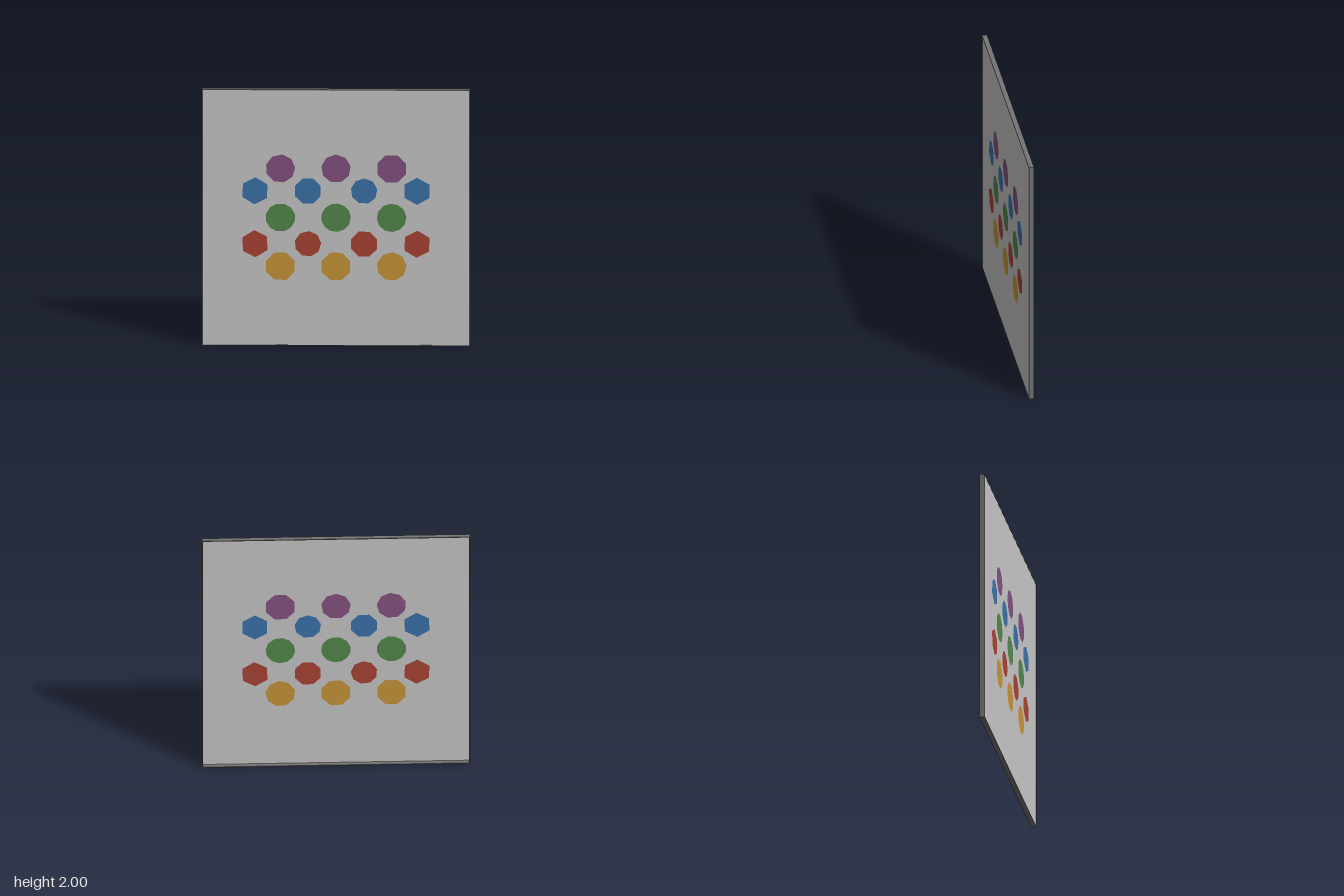
import * as THREE from 'three';

const mat = (name, color, side = THREE.DoubleSide) =>
  new THREE.MeshStandardMaterial({ name, color, side });

export function createModel() {
  const model = new THREE.Group();
  model.name = 'panel';

  const panelGrey = mat('panel grey', 0xcacaca);
  const rimGrey = mat('rim grey', 0x757575, THREE.FrontSide);
  const faceZ = 0.018;

  // Rows of spots: each spot is [x, radius, sides, rotation in degrees]
  const rows = [
    { name: 'purpleSpot', y: 1.383, material: mat('purple', 0x865381),
      spots: [[-0.415, 0.111, 9, 4], [0, 0.111, 9, 10], [0.415, 0.115, 8, 22.5]] },
    { name: 'blueSpot', y: 1.208, material: mat('blue', 0x3b74ac),
      spots: [[-0.605, 0.106, 6, 28], [-0.21, 0.104, 8, 22.5], [0.21, 0.1, 9, 8], [0.605, 0.106, 6, 30]] },
    { name: 'greenSpot', y: 1.0, material: mat('green', 0x558a4d),
      spots: [[-0.415, 0.111, 12, 15], [0, 0.111, 13, 0], [0.415, 0.111, 12, 5]] },
    { name: 'redSpot', y: 0.795, material: mat('red', 0xaa4433),
      spots: [[-0.605, 0.106, 6, 32], [-0.21, 0.1, 9, 4], [0.21, 0.104, 8, 22.5], [0.605, 0.106, 6, 28]] },
    { name: 'orangeSpot', y: 0.62, material: mat('orange', 0xca9739),
      spots: [[-0.415, 0.115, 8, 22.5], [0, 0.115, 8, 22.5], [0.415, 0.112, 9, 5]] },
  ];

  // Square sheet, cut out wherever a spot is inlaid
  const sheet = new THREE.Shape([[-1, 0], [1, 0], [1, 2], [-1, 2]]
    .map(([x, y]) => new THREE.Vector2(x * 0.996, 1 + (y - 1) * 0.996)));

  for (const { name, y, material, spots } of rows) {
    spots.forEach(([x, radius, sides, degrees], i) => {
      const corners = Array.from({ length: sides }, (_, k) => {
        const a = THREE.MathUtils.degToRad(degrees) + (k / sides) * Math.PI * 2;
        return new THREE.Vector2(x + radius * Math.cos(a), y + radius * Math.sin(a));
      });
      sheet.holes.push(new THREE.Path(corners));
      const spot = new THREE.Mesh(new THREE.ShapeGeometry(new THREE.Shape(corners)), material);
      spot.name = `${name}${i + 1}`;
      spot.position.z = faceZ;
      model.add(spot);
    });
  }

  const face = new THREE.Mesh(new THREE.ShapeGeometry(sheet), panelGrey);
  face.name = 'faceSheet';
  face.position.z = faceZ;
  model.add(face);

  // Thin rim around the sheet, leaving the back open
  const rim = new THREE.Group();
  rim.name = 'rim';
  const t = 0.006, depth = 0.038;
  for (const s of [-1, 1]) {
    const side = new THREE.Mesh(new THREE.BoxGeometry(t, 2, depth), rimGrey);
    side.name = s > 0 ? 'leftRim' : 'rightRim';
    side.position.set(s * (1 - t / 2), 1, 0);
    const bar = new THREE.Mesh(new THREE.BoxGeometry(2 - 2 * t, t, depth), rimGrey);
    bar.name = s > 0 ? 'topRim' : 'bottomRim';
    bar.position.set(0, 1 + s * (1 - t / 2), 0);
    rim.add(side, bar);
  }
  model.add(rim);
  return model;
}
